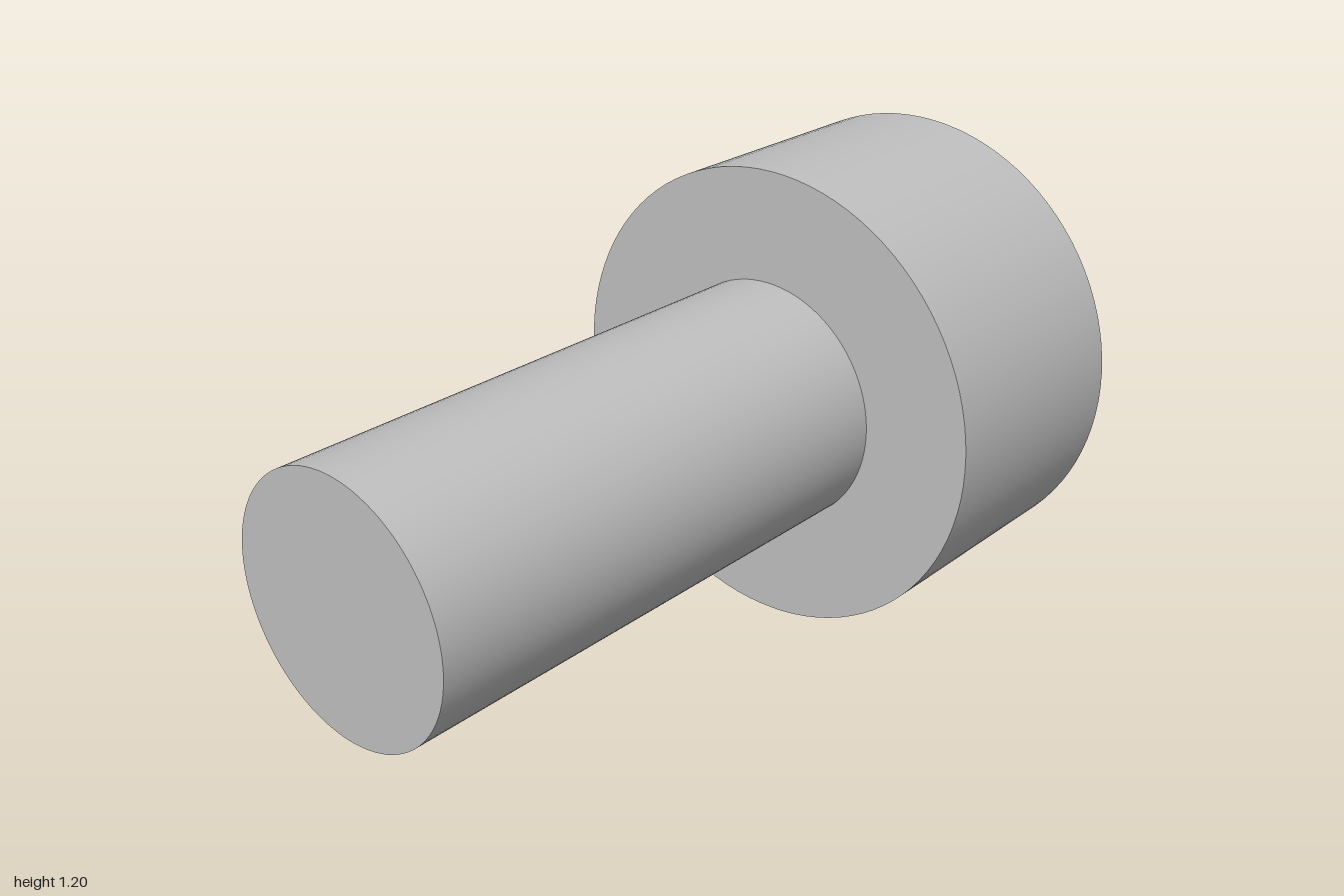
import * as THREE from 'three';

const SEG = 96;
const HEAD_R = 0.598, SHANK_R = 0.315, HEX_R = 0.274;
const BACK = -1, SHOULDER = -0.37, TIP = 1, SOCKET_DEPTH = 0.315;

export function createModel() {
  const steel = new THREE.MeshStandardMaterial({ color: 0xbfbfbf });
  steel.name = 'steel grey';

  const model = new THREE.Group();
  model.name = 'socketHeadBolt';

  const add = (parent, name, geometry, z = 0) => {
    const mesh = new THREE.Mesh(geometry, steel);
    mesh.name = name;
    mesh.position.z = z;
    parent.add(mesh);
  };
  // open tube along z, with a corner on the x axis
  const tube = (r, z0, z1, sides) =>
    new THREE.CylinderGeometry(r, r, z1 - z0, sides, 1, true, Math.PI / 2)
      .rotateX(Math.PI / 2).translate(0, 0, (z0 + z1) / 2);

  const bolt = new THREE.Group();
  bolt.name = 'bolt';
  bolt.position.y = 0.6;
  model.add(bolt);

  // shank
  const shank = new THREE.Group();
  shank.name = 'shank';
  add(shank, 'shankSide', tube(SHANK_R, SHOULDER, TIP, SEG));
  add(shank, 'shankTip', new THREE.CircleGeometry(SHANK_R, SEG), TIP);

  // head: side wall, shoulder ring and back face with a hexagonal opening
  const head = new THREE.Group();
  head.name = 'head';
  add(head, 'headSide', tube(HEAD_R, BACK, SHOULDER, SEG));
  add(head, 'headShoulder', new THREE.RingGeometry(SHANK_R, HEAD_R, SEG), SHOULDER);
  const face = new THREE.Shape().absarc(0, 0, HEAD_R, 0, Math.PI * 2);
  const hexPoints = Array.from({ length: 6 }, (_, i) => {
    const a = (i * Math.PI) / 3;
    return new THREE.Vector2(Math.cos(a) * HEX_R, Math.sin(a) * HEX_R);
  });
  face.holes.push(new THREE.Path(hexPoints));
  add(head, 'headBackFace', new THREE.ShapeGeometry(face, SEG).rotateY(Math.PI), BACK);

  // hex socket: walls mirrored so that they face inwards, then the floor
  const socket = new THREE.Group();
  socket.name = 'hexSocket';
  const floorZ = BACK + SOCKET_DEPTH;
  const walls = tube(HEX_R, BACK, floorZ, 6).toNonIndexed().scale(-1, 1, 1);
  walls.computeVertexNormals();
  add(socket, 'socketWalls', walls);
  add(socket, 'socketFloor', new THREE.CircleGeometry(HEX_R, 6).rotateY(Math.PI), floorZ);
  head.add(socket);

  bolt.add(shank, head);
  return model;
}
